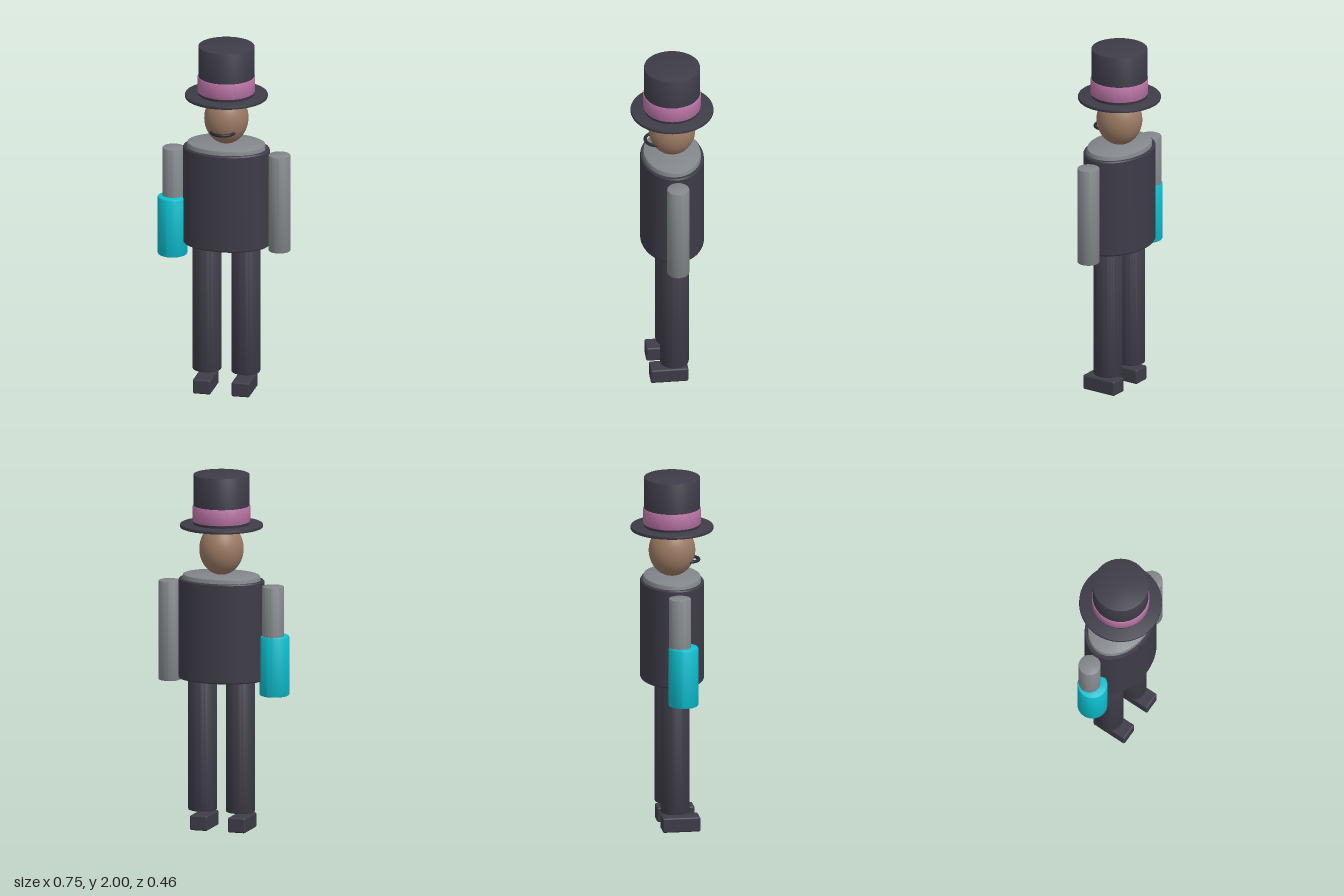
import * as THREE from 'three';
import { RoundedBoxGeometry } from 'three/addons/geometries/RoundedBoxGeometry.js';
import { toCreasedNormals } from 'three/addons/utils/BufferGeometryUtils.js';

const CENTER_X = 0.01;

function material(name, color) {
  const m = new THREE.MeshStandardMaterial({ color });
  m.name = name;
  return m;
}

// Upright closed cylinder from y0 to y1 with a small bevel on both rims
function bevelledCylinder(radius, y0, y1, bevel) {
  const points = [
    [0, y0], [radius - bevel, y0], [radius - bevel * 0.3, y0 + bevel * 0.3], [radius, y0 + bevel],
    [radius, y1 - bevel], [radius - bevel * 0.3, y1 - bevel * 0.3], [radius - bevel, y1], [0, y1],
  ].map(([x, y]) => new THREE.Vector2(x, y));
  return toCreasedNormals(new THREE.LatheGeometry(points, 64), 0.5);
}

export function createModel() {
  const model = new THREE.Group();
  model.name = 'gentleman';

  const dark = material('charcoal', 0x3d3c48);
  const grey = material('grey', 0x83878b);
  const teal = material('turquoise', 0x0cc0d0);
  const pink = material('pink', 0xb873a4);
  const skin = material('brown skin', 0x9a7963);
  const black = material('moustache black', 0x2b2b33);

  function add(name, geometry, mat, x, y = 0, z = 0) {
    const mesh = new THREE.Mesh(geometry, mat);
    mesh.name = name;
    mesh.position.set(x, y, z);
    model.add(mesh);
    return mesh;
  }

  // Top hat
  add('hatCrown', bevelledCylinder(0.155, 1.71, 2.0, 0.003), dark, CENTER_X);
  add('hatBand', bevelledCylinder(0.159, 1.735, 1.825, 0.003), pink, CENTER_X);
  add('hatBrim', bevelledCylinder(0.229, 1.702, 1.721, 0.004), dark, CENTER_X);

  // Head and curved moustache
  add('head', new THREE.SphereGeometry(1, 48, 32), skin, CENTER_X, 1.58, 0).scale.set(0.122, 0.145, 0.129);
  const moustache = add('moustache', new THREE.TorusGeometry(0.064, 0.009, 12, 32, Math.PI), black, CENTER_X, 1.523, 0.085);
  moustache.rotation.x = Math.PI / 2;

  // Oval jacket shell around the oval shirt
  const jacketProfile = [
    [0.222, 0.85], [0.238, 0.85], [0.243, 0.857], [0.243, 1.403], [0.238, 1.41], [0.222, 1.41], [0.222, 0.85],
  ].map(([x, y]) => new THREE.Vector2(x, y));
  const jacket = toCreasedNormals(new THREE.LatheGeometry(jacketProfile, 64), 0.5);
  add('jacket', jacket, dark, CENTER_X).scale.z = 0.72;
  add('shirt', bevelledCylinder(0.22, 0.853, 1.437, 0.012), grey, CENTER_X).scale.z = 0.72;

  // Arms, with a wide cuff over the right forearm
  add('leftArm', bevelledCylinder(0.061, 0.828, 1.386, 0.004), grey, 0.311);
  add('rightArm', bevelledCylinder(0.061, 0.828, 1.386, 0.004), grey, -0.29);
  add('rightCuff', bevelledCylinder(0.083, 0.77, 1.108, 0.01), teal, -0.291, 0, 0.019);

  // Legs and shoes
  for (const side of [-1, 1]) {
    const x = CENTER_X + side * 0.11;
    const label = side > 0 ? 'left' : 'right';
    add(label + 'Leg', bevelledCylinder(0.08, 0.108, 0.87, 0.006), dark, x);
    add(label + 'Shoe', new RoundedBoxGeometry(0.102, 0.084, 0.21, 3, 0.01), dark, x, 0.042, 0.031);
  }

  return model;
}
